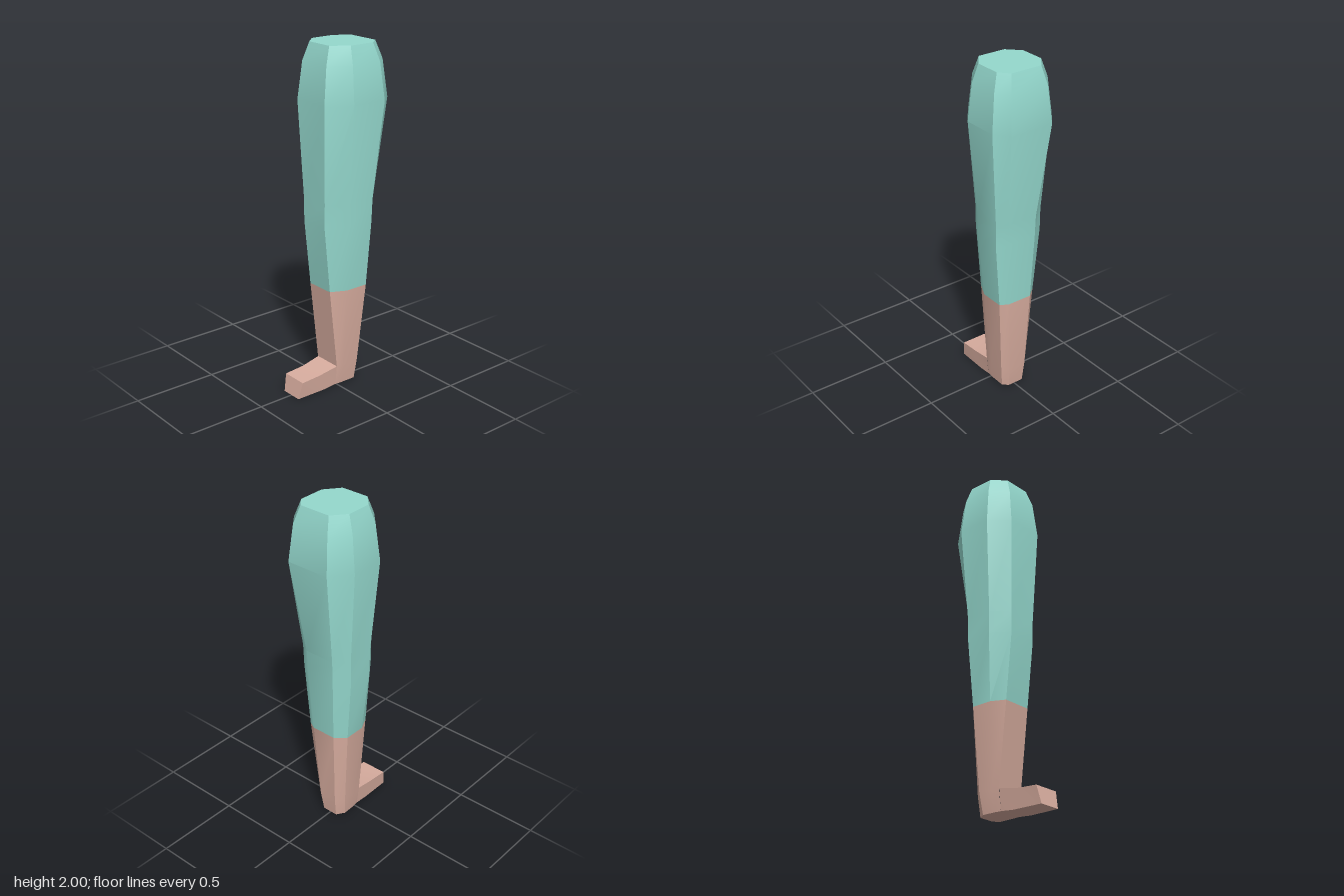
import * as THREE from 'three';
import { toCreasedNormals } from 'three/addons/utils/BufferGeometryUtils.js';

// Skins a row of rings; optional end caps, and skip(row, side) leaves a panel open.
function loft(rings, { capStart = false, capEnd = false, skip = () => false } = {}) {
  const pos = [];
  const tri = (a, b, c) => pos.push(...a, ...b, ...c);
  const n = rings[0].length;
  for (let r = 0; r < rings.length - 1; r++) {
    for (let i = 0; i < n; i++) {
      if (skip(r, i)) continue;
      const j = (i + 1) % n, lo = rings[r], hi = rings[r + 1];
      tri(lo[i], hi[i], lo[j]);
      tri(hi[i], hi[j], lo[j]);
    }
  }
  const last = rings[rings.length - 1];
  for (let i = 1; i < n - 1; i++) {
    if (capStart) tri(rings[0][0], rings[0][i], rings[0][i + 1]);
    if (capEnd) tri(last[0], last[i + 1], last[i]);
  }
  const geometry = new THREE.BufferGeometry();
  geometry.setAttribute('position', new THREE.Float32BufferAttribute(pos, 3));
  return toCreasedNormals(geometry, 0.55);
}

// Uneven octagon at height y: back pair, +x side pair, front pair, -x side pair.
function octagon(y, pts) {
  return pts.map(([x, z]) => [x, y, z]);
}

const SOLE = octagon(0.01, [[-0.05, -0.146], [0.045, -0.146], [0.076, -0.119], [0.075, -0.02],
  [0.072, 0.018], [-0.072, 0.018], [-0.078, -0.02], [-0.08, -0.1]]);
const ANKLE = octagon(0.13, [[-0.055, -0.162], [0.055, -0.162], [0.09, -0.13], [0.09, -0.03],
  [0.085, 0.018], [-0.088, 0.018], [-0.094, -0.03], [-0.094, -0.115]]);
const CUFF = octagon(0.61, [[-0.07, -0.187], [0.08, -0.187], [0.127, -0.161], [0.127, -0.02],
  [0.085, 0.07], [-0.09, 0.07], [-0.13, -0.01], [-0.13, -0.135]]);
const KNEE_LOW = octagon(1.0, [[-0.083, -0.205], [0.097, -0.205], [0.158, -0.17], [0.158, -0.01],
  [0.088, 0.11], [-0.091, 0.11], [-0.165, 0.01], [-0.165, -0.147]]);
const KNEE_HIGH = octagon(1.13, [[-0.085, -0.21], [0.1, -0.21], [0.16, -0.174], [0.16, -0.01],
  [0.09, 0.11], [-0.092, 0.11], [-0.165, 0.01], [-0.165, -0.15]]);
const THIGH = octagon(1.69, [[-0.12, -0.286], [0.144, -0.286], [0.208, -0.209], [0.208, 0.005],
  [0.115, 0.132], [-0.115, 0.132], [-0.21, 0.029], [-0.21, -0.173]]);
const TOP = octagon(2, [[-0.087, -0.229], [0.103, -0.229], [0.151, -0.171], [0.151, -0.016],
  [0.083, 0.073], [-0.083, 0.073], [-0.152, 0], [-0.152, -0.148]]);
// Rounding ring between the widest part of the thigh and the flat top
const HIP = THIGH.map((p, i) => [
  THREE.MathUtils.lerp(p[0], TOP[i][0], 0.42), 1.9, THREE.MathUtils.lerp(p[2], TOP[i][2], 0.42)]);

// Four-sided foot section; top and bottom each have half width, height and depth.
function footSection([bw, by, bz], [tw, ty, tz]) {
  return [[-bw, by, bz], [-tw, ty, tz], [tw, ty, tz], [bw, by, bz]];
}

export function createModel() {
  const leg = new THREE.Group();
  leg.name = 'leg';
  const cloth = new THREE.MeshStandardMaterial({ color: 0x94d8cd });
  const skin = new THREE.MeshStandardMaterial({ color: 0xd8ad9f });
  const add = (name, geometry, material) => {
    const mesh = new THREE.Mesh(geometry, material);
    mesh.name = name;
    leg.add(mesh);
  };

  // Trouser leg from cuff to flat hip
  add('trouserLeg', loft([CUFF, KNEE_LOW, KNEE_HIGH, THIGH, HIP, TOP], { capEnd: true }), cloth);

  // Bare shin and heel, open in front below the ankle where the foot joins
  add('shinAndHeel', loft([SOLE, ANKLE, CUFF], {
    capStart: true, skip: (row, side) => row === 0 && side === 4,
  }), skin);

  // Foot running forward to a blunt, leaning toe
  add('foot', loft([
    footSection([0.072, 0.01, 0.018], [0.086, 0.13, 0.018]),
    footSection([0.07, 0.002, 0.1], [0.079, 0.108, 0.14]),
    footSection([0.065, 0, 0.285], [0.078, 0.1, 0.263]),
  ], { capEnd: true }), skin);

  return leg;
}
